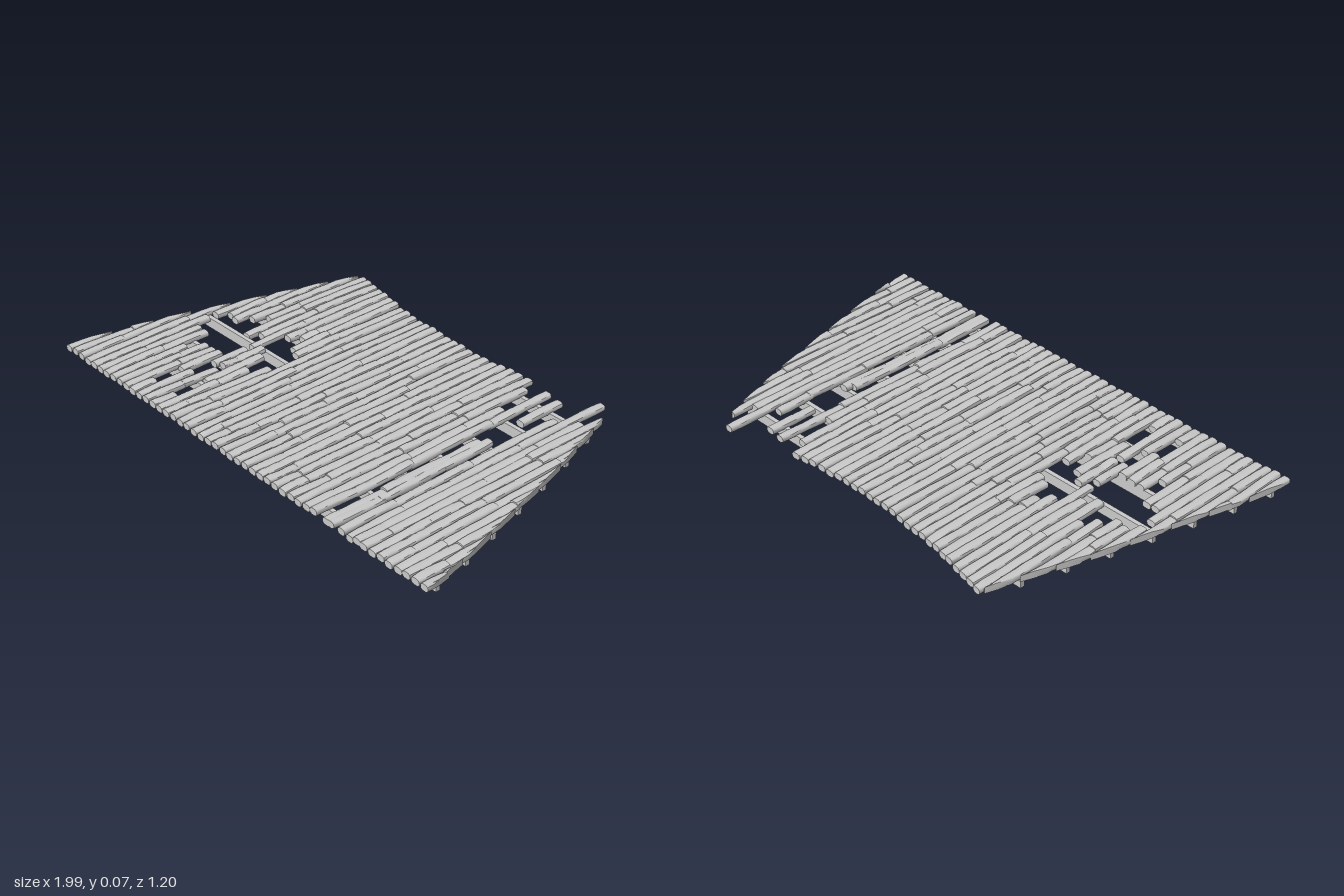
import * as THREE from 'three';
import { mergeGeometries, toCreasedNormals } from 'three/addons/utils/BufferGeometryUtils.js';

const PITCH = 0.0408, FRONT = 0.6, SIDES = 10;
// Outline: half width against z, and back edge z against x
const SIDE = [[-0.6, 0.67], [-0.2, 0.8], [0.38, 0.955], [0.6, 1]];
const BACK = [[-1, -0.6], [-0.67, -0.6], [-0.5, -0.565], [-0.35, -0.535], [-0.1, -0.513], [0.1, -0.51], [0.34, -0.535], [1, -0.53]];

// Broken back ends (column: z) and sideways shifts around the torn corner
const BROKEN = { 9: -0.47, 10: -0.31, 11: -0.51, 12: -0.5, 13: -0.13, 14: -0.4, 15: -0.6, 16: -0.45 };
const SHIFT = { 11: -0.003, 12: 0.02, 14: 0.014, 15: 0.014, 16: 0.008 };
// Holes: column, from z, to z
const HOLES = [
  [-20, 0.03, 0.07], [-19, -0.01, 0.14], [-18, 0, 0.14], [-17, -0.05, 0.27], [-16, -0.1, 0.2],
  [-15, 0.04, 0.2], [-14, 0, 0.2], [-14, 0.38, 0.5], [-13, 0.08, 0.11], [-13, 0.26, 0.36],
  [-12, -0.06, 0.06], [-12, 0.25, 0.28], [-11, -0.1, 0.1], [-11, 0.36, 0.5], [-10, -0.02, 0.2],
  [-9, 0.0, 0.13], [12, -0.3, -0.1],
];

let seed = 7;
const rand = (a, b) => {
  seed = (seed * 16807) % 2147483647;
  return a + (b - a) * (seed / 2147483647);
};

function lookup(table, v, from = 0) {
  const to = 1 - from;
  for (let k = 1; k < table.length; k++) {
    const p = table[k - 1], q = table[k];
    if (v <= q[from]) return p[to] + (q[to] - p[to]) * Math.max(0, (v - p[from]) / (q[from] - p[from]));
  }
  return table[table.length - 1][to];
}

// One split cane: an uneven flattened tube along z, trimmed to the outline
function cane(x, z0, z1, halfWidth, trimBack) {
  const rows = Math.max(4, Math.ceil((z1 - z0) / 0.05));
  const pos = [], index = [];
  const tilt = rand(-0.004, 0.004), lift = rand(0.045, 0.05), bend = rand(-0.003, 0.003);
  const ringStart = (r) => r * SIDES;
  for (let r = 0; r <= rows; r++) {
    const t = r / rows, z = z0 + (z1 - z0) * t;
    const end = r === 0 || r === rows;
    const w = halfWidth * (end ? 0.93 : rand(0.93, 1.06));
    const h = (end ? 0.0135 : rand(0.0125, 0.0155));
    const cx = x + bend * Math.sin(t * Math.PI), cy = lift + tilt * (2 * t - 1);
    for (let j = 0; j < SIDES; j++) {
      const a = (j / SIDES) * Math.PI * 2, c = Math.cos(a), s = Math.sin(a);
      const limit = lookup(SIDE, z);
      const px = THREE.MathUtils.clamp(cx + w * Math.sign(c) * Math.abs(c) ** 0.7, -limit, limit);
      const py = cy + h * Math.sign(s) * Math.abs(s) ** 0.8;
      pos.push(px, py, trimBack ? Math.max(z, lookup(BACK, px)) : z);
    }
  }
  for (let r = 0; r < rows; r++) for (let j = 0; j < SIDES; j++) {
    const k = (j + 1) % SIDES, p = ringStart(r), q = ringStart(r + 1);
    index.push(p + j, p + k, q + k, p + j, q + k, q + j);
  }
  // End caps
  const last = ringStart(rows);
  for (let j = 1; j < SIDES - 1; j++) {
    index.push(0, j + 1, j, last, last + j, last + j + 1);
  }
  const g = new THREE.BufferGeometry();
  g.setAttribute('position', new THREE.Float32BufferAttribute(pos, 3));
  g.setIndex(index);
  return toCreasedNormals(g, 0.8);
}

// All canes in one column, broken by holes and joints
function column(i) {
  const x = i * PITCH + (SHIFT[i] ?? 0), half = rand(0.0188, 0.0212);
  const ax = Math.abs(x) - half * 0.9;
  const side = ax > 0.67 ? lookup(SIDE, ax, 1) : -0.6;
  const back = Math.max(side, BROKEN[i] ?? lookup(BACK, x));
  let spans = [[back, FRONT]];
  for (const [col, a, b] of HOLES) if (col === i) {
    spans = spans.flatMap(([s, e]) => [[s, Math.min(e, a)], [Math.max(s, b), e]]);
  }
  const joints = [-0.2, 0.1, 0.41].map((z) => z + rand(-0.09, 0.09));
  const parts = [];
  for (const [s, e] of spans) {
    const cuts = [s, ...joints.filter((z) => z > s + 0.06 && z < e - 0.06), e];
    for (let k = 1; k < cuts.length; k++) {
      if (cuts[k] - cuts[k - 1] < 0.02) continue;
      const overlap = k < cuts.length - 1 ? 0.012 : 0;
      const trim = k === 1 && s === back && !(i in BROKEN);
      parts.push(cane(x + rand(-0.002, 0.002), cuts[k - 1], cuts[k] + overlap, half, trim));
    }
  }
  return mergeGeometries(parts);
}

export function createModel() {
  const model = new THREE.Group();
  model.name = 'canePanel';
  const material = new THREE.MeshStandardMaterial({ color: 0xcccccc });

  // Covering of canes
  const canes = new THREE.Group();
  canes.name = 'canes';
  for (let i = -24; i <= 24; i++) {
    const mesh = new THREE.Mesh(column(i), material);
    mesh.name = 'caneColumn';
    canes.add(mesh);
  }
  model.add(canes);

  // Cross battens underneath
  const battens = new THREE.Group();
  battens.name = 'battens';
  for (let k = 0; k < 7; k++) {
    const z = 0.535 - k * 0.1625;
    const length = 2 * (lookup(SIDE, z) - 0.012);
    const mesh = new THREE.Mesh(new THREE.BoxGeometry(length, 0.042, 0.018), material);
    mesh.name = 'batten';
    mesh.position.set(0, 0.021, z);
    battens.add(mesh);
  }
  model.add(battens);
  return model;
}
